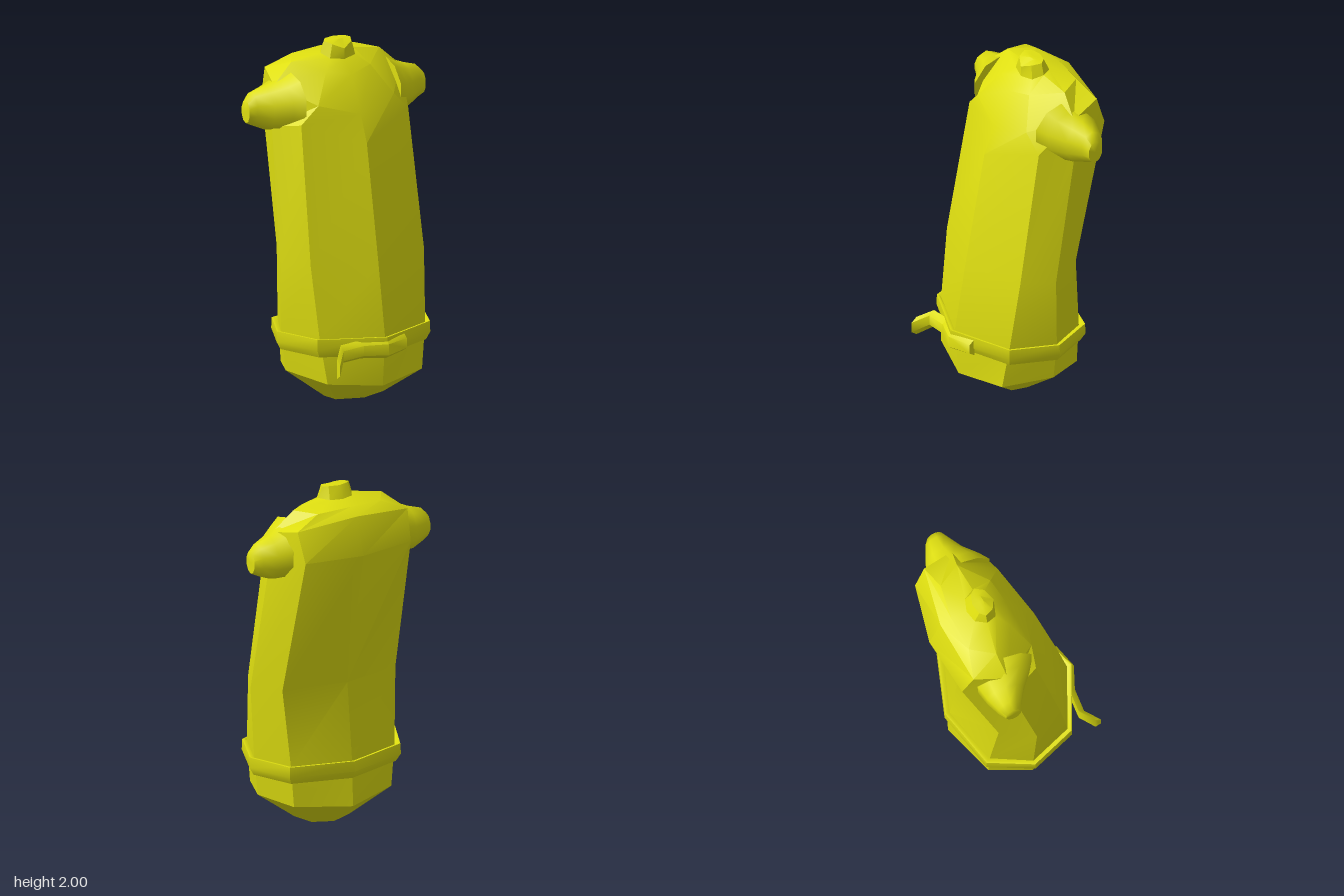
import * as THREE from 'three';
import { toCreasedNormals } from 'three/addons/utils/BufferGeometryUtils.js';

// Skin a list of equal-length rings (counter-clockwise about the travel direction).
function loft(rings, caps, crease) {
  const n = rings[0].length, pos = rings.flat(2), idx = [];
  for (let i = 0; i < rings.length - 1; i++) {
    for (let j = 0; j < n; j++) {
      const k = (j + 1) % n, a = i * n + j, b = i * n + k;
      idx.push(a, b, b + n, a, b + n, a + n);
    }
  }
  if (caps) {
    [0, rings.length - 1].forEach((r, end) => {
      const c = pos.length / 3;
      for (let d = 0; d < 3; d++) pos.push(rings[r].reduce((s, p) => s + p[d], 0) / n);
      for (let j = 0; j < n; j++) {
        const a = r * n + j, b = r * n + (j + 1) % n;
        if (end) idx.push(c, a, b); else idx.push(c, b, a);
      }
    });
  }
  const g = new THREE.BufferGeometry();
  g.setAttribute('position', new THREE.Float32BufferAttribute(pos, 3));
  g.setIndex(idx);
  return toCreasedNormals(g, crease);
}

// Mirror half a section (front, front corner, side, back corner, back) into an eight-point ring.
const section = (half) => [...half, ...half.slice(1, 4).reverse().map(([x, y, z]) => [-x, y, z])];

// Belt ring: the same outline moved outward by a small offset.
const beltRing = (y, o) => section([
  [0, y, 0.375 + o], [0.335 + o * 0.8, y, 0.24 + o * 0.5], [0.435 + o, y, -0.005],
  [0.33 + o * 0.8, y, -0.225 - o * 0.8], [0, y, -0.32 - o],
]);

export function createModel() {
  const model = new THREE.Group();
  const yellow = new THREE.MeshStandardMaterial({ color: 0xdede10 });
  const add = (name, geometry) => {
    const m = new THREE.Mesh(geometry, yellow);
    m.name = name;
    model.add(m);
  };

  // Leaning eight-sided body, from the underside up to the knob on top
  add('body', loft([
    [[0, 0.02, 0.15], [0.15, 0.02, 0.10], [0.17, 0.02, 0.01], [0.12, 0.01, -0.09], [0, 0.005, -0.13]],
    [[0, 0.14, 0.35], [0.30, 0.17, 0.265], [0.41, 0.2, 0], [0.31, 0.18, -0.22], [0, 0.16, -0.33]],
    [[0, 0.42, 0.375], [0.335, 0.42, 0.24], [0.435, 0.42, -0.005], [0.33, 0.42, -0.22], [0, 0.42, -0.32]],
    [[0, 0.82, 0.305], [0.36, 0.83, 0.185], [0.45, 0.83, 0.01], [0.36, 0.86, -0.18], [0, 0.87, -0.27]],
    [[0, 1.48, 0.18], [0.34, 1.6, 0.05], [0.42, 1.56, -0.13], [0.335, 1.67, -0.385], [0, 1.67, -0.44]],
    [[0, 1.63, 0.115], [0.24, 1.7, 0.065], [0.4, 1.79, -0.14], [0.35, 1.84, -0.325], [0, 1.88, -0.375]],
    [[0, 1.83, 0.015], [0.14, 1.86, -0.02], [0.28, 1.9, -0.16], [0.2, 1.905, -0.29], [0, 1.915, -0.31]],
    [[0, 1.9, -0.06], [0.08, 1.91, -0.08], [0.105, 1.93, -0.14], [0.07, 1.93, -0.2], [0, 1.93, -0.22]],
    [[0, 1.96, -0.06], [0.06, 1.985, -0.09], [0.085, 1.995, -0.14], [0.06, 2, -0.17], [0, 2, -0.185]],
    [[0, 2, -0.12], [0.03, 2, -0.125], [0.04, 2, -0.14], [0.03, 2, -0.16], [0, 2, -0.17]],
  ].map(section), true, 0.55));

  // Stubby arms: x, centre y, centre z, half height, half depth
  const armRings = [
    [0.30, 1.685, -0.14, 0.17, 0.19], [0.36, 1.675, -0.15, 0.145, 0.16],
    [0.44, 1.66, -0.172, 0.125, 0.112], [0.52, 1.665, -0.18, 0.095, 0.07],
    [0.56, 1.655, -0.175, 0.065, 0.045],
  ].map(([x, cy, cz, ry, rz]) => Array.from({ length: 10 }, (_, i) => {
    const a = i * Math.PI / 5;
    return [x, cy + ry * Math.cos(a), cz + rz * Math.sin(a)];
  }));
  add('leftArm', loft(armRings, true, 0.9));
  const mirrored = armRings.map((r) => r.map(([x, y, z]) => [-x, y, z])).reverse();
  add('rightArm', loft(mirrored, true, 0.9));

  // Flared belt
  add('belt', loft([
    beltRing(0.325, -0.03), beltRing(0.325, 0.005), beltRing(0.37, 0.03),
    beltRing(0.43, 0.027), beltRing(0.43, 0.015), beltRing(0.41, -0.02),
  ], false, 0.6));

  // Knotted belt strap whose loose end sticks out at the front
  add('beltTie', loft([
    [-0.325, 0.3, 0.425, 0.055], [-0.26, 0.355, 0.352, 0.052], [-0.13, 0.365, 0.352, 0.052],
    [0, 0.365, 0.4, 0.058], [0.14, 0.37, 0.355, 0.05],
  ].map(([x, y, z, h]) => [
    [x, y + h, z - 0.016], [x, y + h * 0.5, z + 0.016], [x, y - h * 0.6, z + 0.016], [x, y - h, z - 0.016],
  ]), true, 0.9));

  return model;
}
